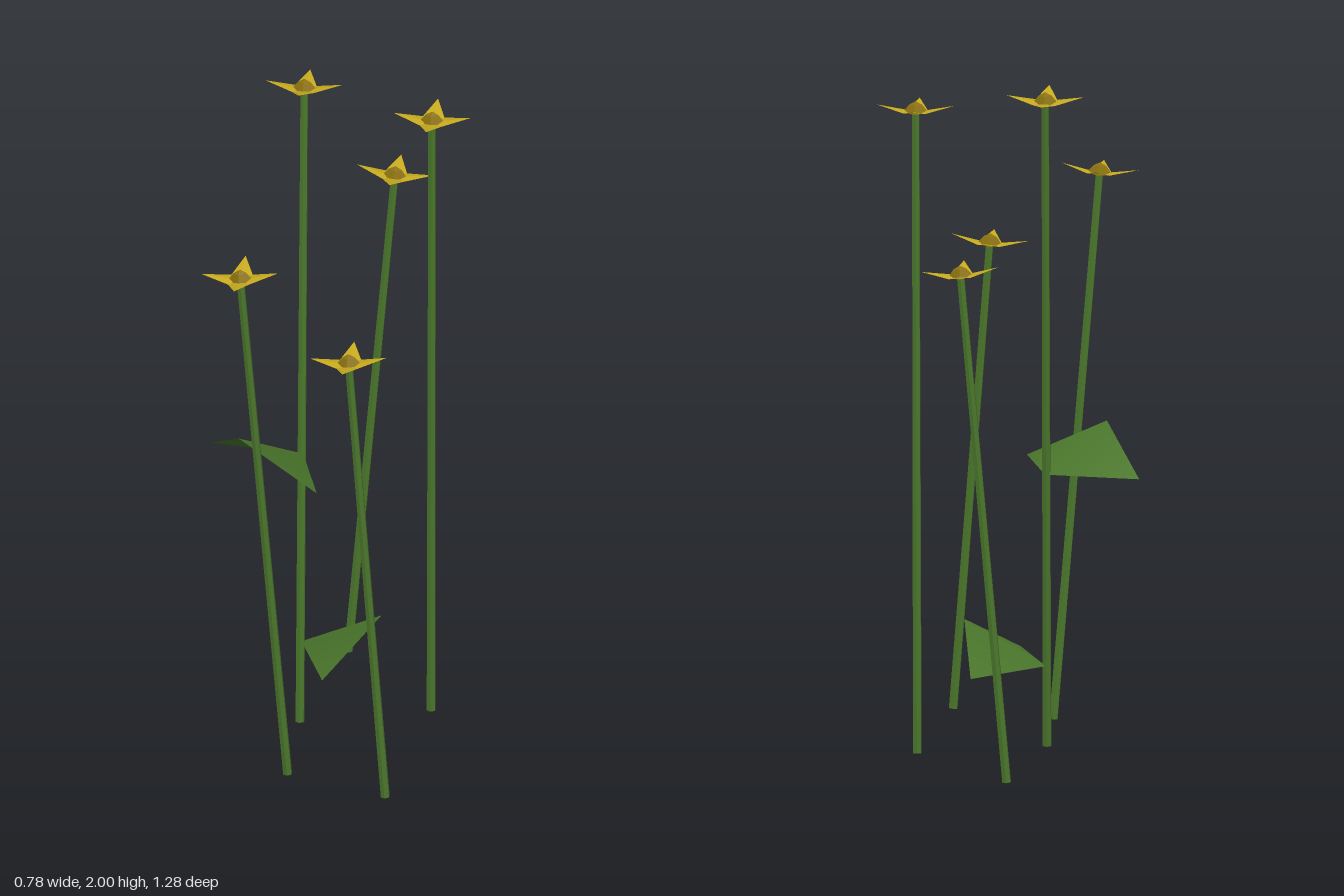
import * as THREE from 'three';

const UP = new THREE.Vector3(0, 1, 0);

// Faceted copy of a geometry
function facet(geometry) {
  const g = geometry.index ? geometry.toNonIndexed() : geometry;
  g.computeVertexNormals();
  return g;
}

// Open surface from corner points and triangle indices
function sheet(points, index) {
  const g = new THREE.BufferGeometry();
  g.setAttribute('position', new THREE.Float32BufferAttribute(points.flat(), 3));
  g.setIndex(index);
  g.computeVertexNormals();
  return g;
}

// Four-pointed star with raised tips
function petalGeometry() {
  const points = [[0, 0, 0]];
  const index = [];
  for (let i = 0; i < 8; i++) {
    const a = (i * Math.PI) / 4;
    const tip = i % 2 === 0;
    const r = tip ? 0.115 : 0.045;
    points.push([Math.sin(a) * r, tip ? 0.022 : 0.002, Math.cos(a) * r]);
    index.push(0, i + 1, ((i + 1) % 8) + 1);
  }
  return facet(sheet(points, index));
}

// Kite-shaped leaf, softly folded along its midrib, growing from its origin along +z
function leafGeometry() {
  const base = [0, 0, 0], left = [0.238, 0, 0.155], right = [-0.238, 0, 0.155], tip = [0, 0.125, 0.252];
  return sheet([base, tip, left, right], [0, 1, 2, 0, 3, 1]);
}

export function createModel() {
  const model = new THREE.Group();
  model.name = 'flowers';

  const green = new THREE.MeshStandardMaterial({ color: 0x4a762b, side: THREE.DoubleSide });
  green.name = 'leafGreen';
  const yellow = new THREE.MeshStandardMaterial({ color: 0xc8ab1e, side: THREE.DoubleSide });
  yellow.name = 'petalYellow';
  const brown = new THREE.MeshStandardMaterial({ color: 0x8c7210 });
  brown.name = 'centreBrown';

  const petals = petalGeometry();
  const centre = facet(new THREE.LatheGeometry(
    [[0, -0.004], [0.038, 0], [0.019, 0.024], [0, 0.034]].map(([x, y]) => new THREE.Vector2(x, y)), 4));

  // Each flower: foot of the stem, then the head
  const flowers = [
    [[-0.1, 0, 0.02], [-0.112, 1.965, -0.142]],
    [[0.268, 0, -0.12], [0.277, 1.915, -0.08]],
    [[-0.08, 0, 0.39], [-0.207, 1.622, 0.475]],
    [[-0.035, 0, -0.495], [0.097, 1.523, -0.53]],
    [[0.228, 0, 0.507], [0.122, 1.392, 0.52]],
  ];
  for (const [foot, head] of flowers) {
    const start = new THREE.Vector3(...foot);
    const end = new THREE.Vector3(...head);
    const axis = end.clone().sub(start);
    const length = axis.length();

    const flower = new THREE.Group();
    flower.name = 'flower';
    flower.position.copy(start);
    flower.quaternion.setFromUnitVectors(UP, axis.normalize());

    const stem = new THREE.Mesh(facet(new THREE.CylinderGeometry(0.012, 0.014, length, 6)), green);
    stem.name = 'stem';
    stem.position.y = length / 2;

    const star = new THREE.Mesh(petals, yellow);
    star.name = 'petals';
    star.position.y = length;

    const disc = new THREE.Mesh(centre, brown);
    disc.name = 'flowerCentre';
    disc.position.y = length;

    flower.add(stem, star, disc);
    model.add(flower);
  }

  // Two leaves on the tallest stem
  const leafShape = leafGeometry();
  for (const [x, y, z, turn] of [[-0.102, 0.83, -0.055, -0.7], [-0.1, 0.245, -0.01, 1.36]]) {
    const leaf = new THREE.Mesh(leafShape, green);
    leaf.name = 'leaf';
    leaf.position.set(x, y, z);
    leaf.rotation.y = turn;
    model.add(leaf);
  }
  return model;
}
